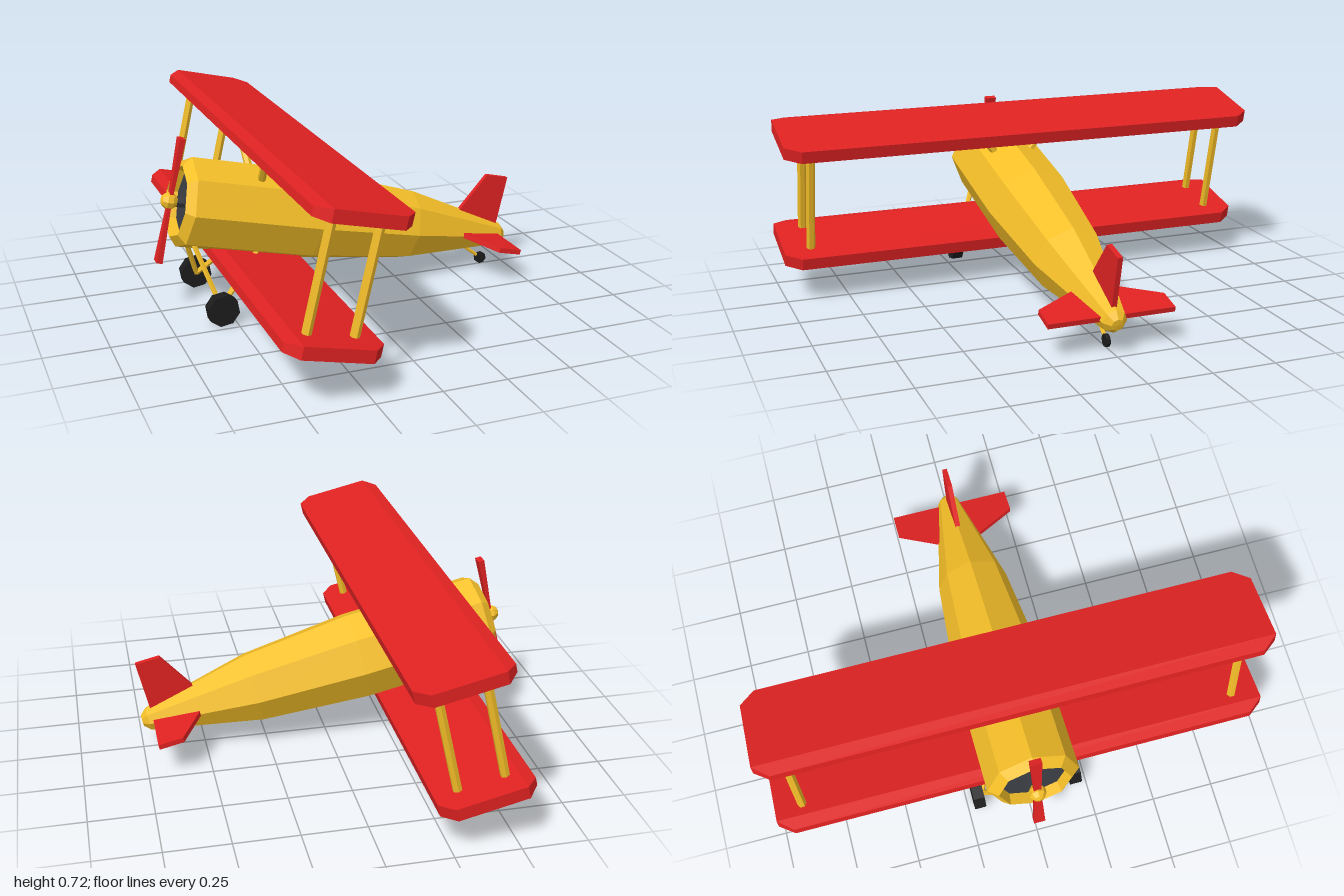
import * as THREE from 'three';
import { ConvexGeometry } from 'three/addons/geometries/ConvexGeometry.js';

const paint = (color, side = THREE.FrontSide) => {
  const m = new THREE.MeshStandardMaterial({ flatShading: true, side });
  m.color.set(color);
  return m;
};
const yellow = paint(0xf5bf28);
const red = paint(0xe02222);
const black = paint(0x1c1c1c);
const dark = paint(0x3a3d42);

const AXIS = 0.288; // height of the fuselage axis before pitching

export function createModel() {
  const model = new THREE.Group();
  model.name = 'biplane';
  // everything is built level with the nose towards -x, then pitched nose up
  const plane = new THREE.Group();
  plane.name = 'airframe';
  plane.rotation.z = -0.227;
  model.add(plane);

  const add = (name, geometry, material, x = 0, y = 0, z = 0) => {
    const mesh = new THREE.Mesh(geometry, material);
    mesh.name = name;
    mesh.position.set(x, y, z);
    plane.add(mesh);
    return mesh;
  };
  const rod = (name, a, b, radius, material = yellow) => {
    const from = new THREE.Vector3(...a), to = new THREE.Vector3(...b);
    const dir = to.clone().sub(from);
    const mesh = add(name, new THREE.CylinderGeometry(radius, radius, dir.length(), 6), material);
    mesh.position.copy(from).add(to).multiplyScalar(0.5);
    mesh.quaternion.setFromUnitVectors(new THREE.Vector3(0, 1, 0), dir.normalize());
  };

  // eight-sided fuselage with a recessed cowl opening at the nose
  const profile = [
    [0.135, -0.71], [0.144, -0.755], [0.182, -0.723], [0.182, -0.2],
    [0.145, 0.236], [0.048, 0.675], [0.024, 0.701], [0, 0.703],
  ].map(([r, u]) => new THREE.Vector2(r, u));
  add('fuselage', new THREE.LatheGeometry(profile, 8).rotateZ(-Math.PI / 2), yellow, 0, AXIS);
  add('cowlInterior', new THREE.CircleGeometry(0.136, 8).rotateY(-Math.PI / 2), dark, -0.711, AXIS);

  // propeller: shaft, spinner and two blades that thicken towards the tip
  rod('propellerShaft', [-0.70, AXIS, 0], [-0.775, AXIS, 0], 0.022, dark);
  const spinner = new THREE.SphereGeometry(0.035, 8, 5).rotateZ(Math.PI / 2);
  add('spinner', spinner, yellow, -0.781, AXIS);
  for (const s of [1, -1]) {
    const blade = new THREE.BoxGeometry(0.024, 0.25, 0.046).translate(0, 0.125, 0);
    const p = blade.attributes.position;
    for (let i = 0; i < p.count; i++) {
      if (p.getY(i) < 0.01) p.setXYZ(i, p.getX(i) * 0.5, 0, p.getZ(i) * 0.6);
    }
    add('propellerBlade', blade, red, -0.779, AXIS).rotation.x = s > 0 ? 0 : Math.PI;
  }

  // wings: clipped corners and a sloping leading edge
  const corners = [];
  for (const z of [1, -1]) {
    for (const [u, w, top] of [[-0.597, 0.94, 0.033], [-0.55, 1, 0.049], [-0.285, 1, 0.049], [-0.235, 0.94, 0.049]]) {
      corners.push(new THREE.Vector3(u, 0, z * w), new THREE.Vector3(u, top, z * w));
    }
  }
  const wing = new ConvexGeometry(corners);
  add('upperWing', wing, red, 0, 0.563);
  add('lowerWing', wing, red, 0, 0.091);

  // tail surfaces share one outline, swung around the fuselage axis
  const outline = new THREE.Shape([[0.42, 0], [0.558, 0.25], [0.656, 0.25], [0.656, 0]].map(([x, y]) => new THREE.Vector2(x, y)));
  const tail = new THREE.ExtrudeGeometry(outline, { depth: 0.02, bevelEnabled: false }).translate(0, 0, -0.01);
  const tailParts = [['fin', 0], ['leftStabiliser', Math.PI / 2], ['rightStabiliser', -Math.PI / 2]];
  for (const [name, angle] of tailParts) add(name, tail, red, 0, AXIS + 0.003).rotation.x = angle;

  // struts and main wheels on both sides
  const wheel = (name, r, w, x, y, z) =>
    add(name, new THREE.CylinderGeometry(r, r, w, 8).rotateX(Math.PI / 2), black, x, y, z);
  for (const s of [1, -1]) {
    for (const u of [-0.502, -0.324]) {
      rod('wingStrut', [u, 0.12, s * 0.89], [u, 0.58, s * 0.89], 0.018);
    }
    rod('cabaneStrut', [-0.455, 0.415, s * 0.07], [-0.499, 0.575, s * 0.19], 0.016);
    rod('frontGearLeg', [-0.69, 0.165, s * 0.09], [-0.555, -0.062, s * 0.185], 0.011);
    rod('rearGearLeg', [-0.42, 0.15, s * 0.09], [-0.555, -0.062, s * 0.185], 0.011);
    wheel('mainWheel', 0.064, 0.045, -0.555, -0.062, s * 0.203);
  }

  // tail wheel
  rod('tailWheelLeg', [0.50, 0.235, 0], [0.626, 0.175, 0], 0.008);
  wheel('tailWheel', 0.025, 0.016, 0.626, 0.175, 0);

  return model;
}
